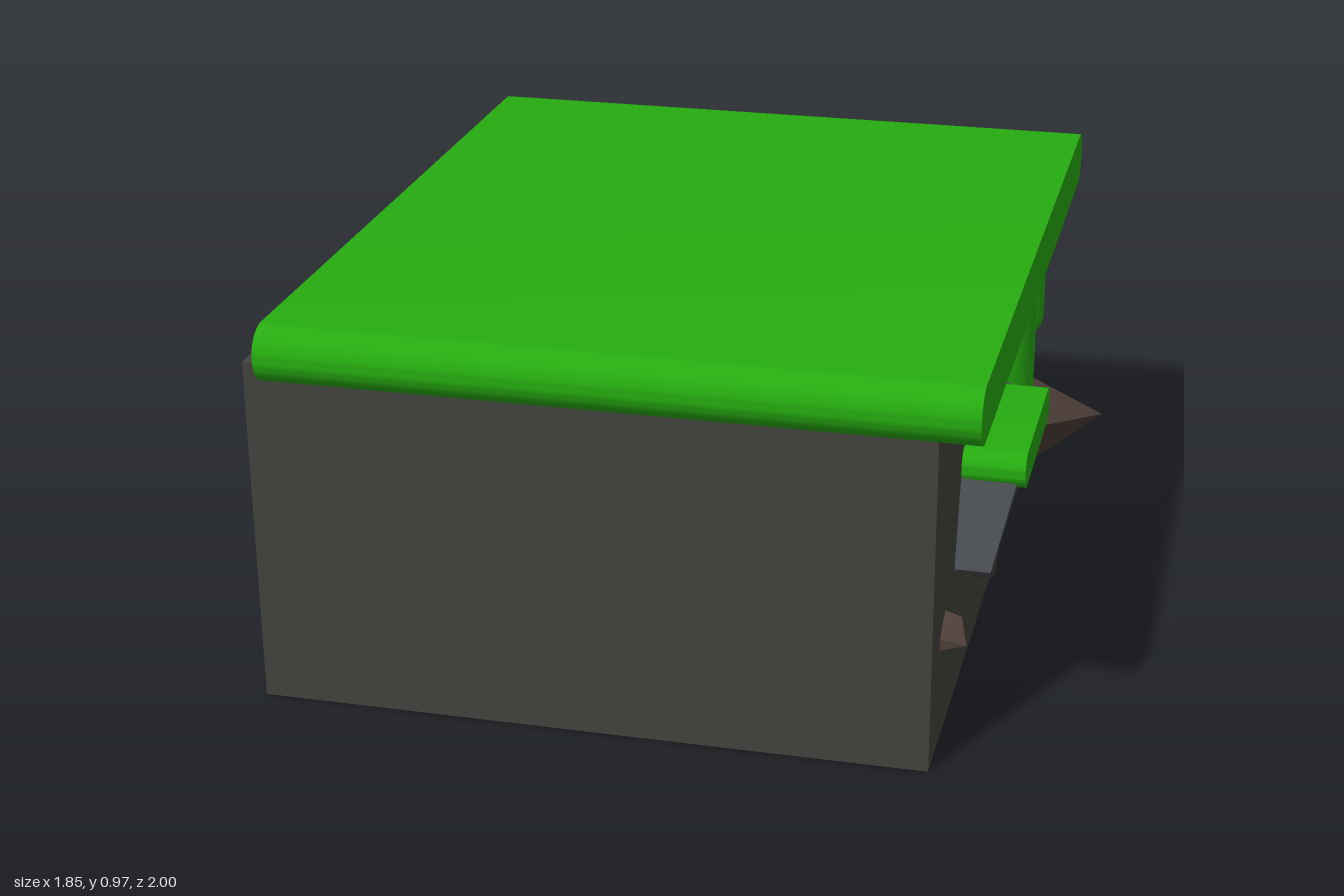
import * as THREE from 'three';
import { toCreasedNormals } from 'three/addons/utils/BufferGeometryUtils.js';
import { ConvexGeometry } from 'three/addons/geometries/ConvexGeometry.js';

const material = (color, flatShading = false) => new THREE.MeshStandardMaterial({ color, flatShading });

export function createModel() {
  const group = new THREE.Group();
  const grass = material(0x26ac10);
  const earth = material(0x42423e);
  const stone = material(0x4b5054, true);
  const brown = material(0x4e3f38, true);

  const add = (name, geometry, mat, x = 0, y = 0, z = 0) => {
    const mesh = new THREE.Mesh(geometry, mat);
    mesh.name = name;
    mesh.position.set(x, y, z);
    group.add(mesh);
    return mesh;
  };

  // Slab with half-round front and back edges, running from x0 to x1
  const roundedSlab = (name, x0, x1, y0, y1, z0, z1) => {
    const r = (y1 - y0) / 2;
    const half = (z1 - z0) / 2 - r;
    const shape = new THREE.Shape();
    shape.absarc(half, 0, r, -Math.PI / 2, Math.PI / 2);
    shape.absarc(-half, 0, r, Math.PI / 2, Math.PI * 1.5);
    const geo = new THREE.ExtrudeGeometry(shape, { depth: x1 - x0, bevelEnabled: false, curveSegments: 16 });
    geo.rotateY(Math.PI / 2);
    add(name, toCreasedNormals(geo, 0.6), grass, x0, (y0 + y1) / 2, (z0 + z1) / 2);
  };

  // Hanging strand of grass with a round tip
  const drip = (name, z, r, bottom) => {
    const length = 0.9 - bottom - 2 * r;
    add(name, new THREE.CapsuleGeometry(r, length, 10, 32), grass, 0.678, bottom + r + length / 2, z);
  };

  // Angular rock as the hull of a few corners [x, y, z]
  const rock = (name, mat, points) =>
    add(name, new ConvexGeometry(points.map((p) => new THREE.Vector3(...p))), mat);

  // Block of earth and its overhanging grass cover
  add('earthBlock', new THREE.BoxGeometry(1.615, 0.865, 1.86), earth, -0.1175, 0.4325, 0);
  roundedSlab('grassCover', -0.87, 0.79, 0.83, 0.97, -1, 1);

  drip('largeGrassDrip', -0.085, 0.103, 0.41);
  drip('smallGrassDrip', -0.515, 0.077, 0.515);

  // Stone ledge with its grass cap
  roundedSlab('ledgeGrass', 0.6, 0.84, 0.545, 0.635, 0.07, 0.55);
  rock('ledgeStone', stone, [
    [0.82, 0.565, 0.545], [0.775, 0.36, 0.605], [0.76, 0.29, 0.48],
    [0.82, 0.585, 0.08], [0.72, 0.6, 0], [0.6, 0.54, 0],
    [0.6, 0.57, 0.55], [0.6, 0.36, 0.605], [0.6, 0.29, 0.48],
  ]);

  // Stones set in the side wall
  rock('largeWallStone', brown, [
    [0.92, 0.28, -0.6], [0.755, 0.34, -0.32], [0.72, 0.41, -0.52], [0.72, 0.16, -0.47],
    [0.62, 0.34, -0.34], [0.62, 0.4, -0.52], [0.62, 0.28, -0.57], [0.62, 0.18, -0.47],
  ]);
  rock('middleWallStone', brown, [
    [0.73, 0.27, 0.315], [0.75, 0.27, 0.2], [0.74, 0.165, 0.235], [0.73, 0.17, 0.18],
    [0.65, 0.305, 0.32], [0.65, 0.305, 0.24], [0.65, 0.28, 0.18],
    [0.65, 0.16, 0.25], [0.65, 0.16, 0.18], [0.65, 0.25, 0.32],
  ]);
  rock('smallWallStone', brown, [
    [0.75, 0.265, 0.8], [0.73, 0.31, 0.745], [0.73, 0.23, 0.74],
    [0.65, 0.29, 0.815], [0.65, 0.24, 0.815], [0.65, 0.325, 0.725], [0.65, 0.21, 0.725],
  ]);

  return group;
}
